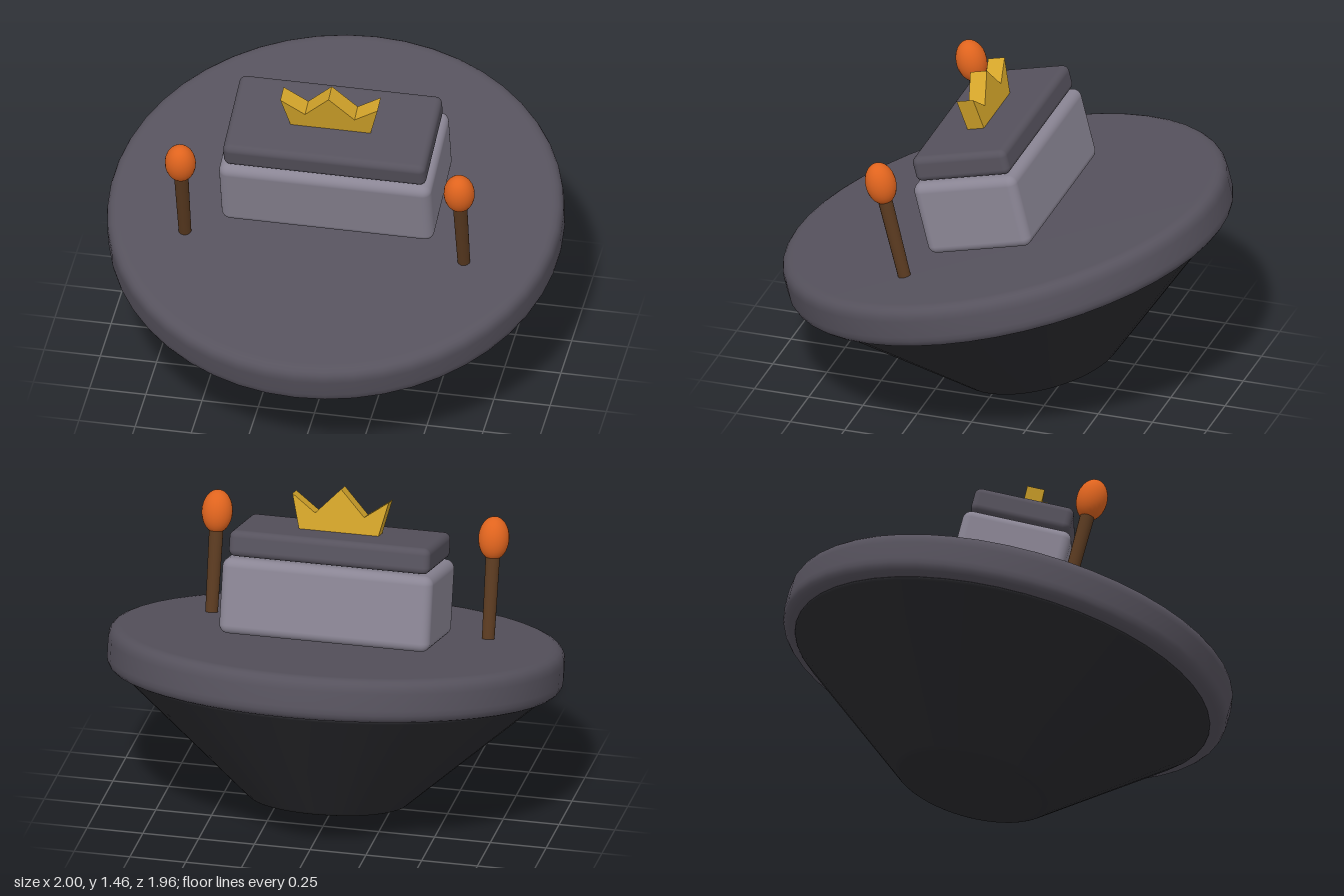
import * as THREE from 'three';
import { RoundedBoxGeometry } from 'three/addons/geometries/RoundedBoxGeometry.js';

function material(name, color) {
  const m = new THREE.MeshStandardMaterial({ color });
  m.name = name;
  return m;
}

// Solid of revolution with rounded lower and upper rims
function roundedDisc(rBottom, rTop, y0, y1, bevel) {
  const shape = new THREE.Path();
  const side = new THREE.Vector2(rTop - rBottom, y1 - y0).normalize().multiplyScalar(bevel);
  shape.moveTo(0, y0);
  shape.lineTo(rBottom - bevel, y0);
  shape.quadraticCurveTo(rBottom, y0, rBottom + side.x, y0 + side.y);
  shape.lineTo(rTop - side.x, y1 - side.y);
  shape.quadraticCurveTo(rTop, y1, rTop - bevel, y1);
  shape.lineTo(0, y1);
  return new THREE.LatheGeometry(shape.getPoints(5), 48);
}

export function createModel() {
  const slate = material('slate', 0x56525d);
  const stone = material('pale stone', 0x8a8594);
  const dark = material('dark rock', 0x2a2a2e);
  const gold = material('gold', 0xd4a52a);
  const wood = material('dark wood', 0x5a3a20);
  const flame = material('flame orange', 0xe0641e);

  const model = new THREE.Group();
  model.name = 'tiltedPlatform';

  // Everything sits on one platform, tipped towards the front
  const tilt = new THREE.Group();
  tilt.name = 'tiltedAssembly';
  tilt.position.y = 0.705;
  tilt.rotation.x = THREE.MathUtils.degToRad(14);
  model.add(tilt);

  function add(name, geometry, mat, x = 0, y = 0, z = 0, parent = tilt) {
    const mesh = new THREE.Mesh(geometry, mat);
    mesh.name = name;
    mesh.position.set(x, y, z);
    parent.add(mesh);
    return mesh;
  }

  // Platform and the tapering underside
  add('platformDisc', roundedDisc(1, 1, -0.0975, 0.0975, 0.06), slate);
  add('taperedUnderside', roundedDisc(0.335, 0.945, -0.643, -0.095, 0.025), dark);

  // Chest-like block with its lid
  add('stoneBlock', new RoundedBoxGeometry(0.944, 0.338, 0.488, 4, 0.04), stone, 0, 0.282, -0.055);
  add('lid', new RoundedBoxGeometry(0.9, 0.116, 0.445, 4, 0.03), slate, 0, 0.514, -0.055);

  // Three-pointed crown
  const outline = [[-0.178, 0], [0.178, 0], [0.216, 0.155], [0.11, 0.078],
    [0, 0.194], [-0.11, 0.078], [-0.216, 0.155]];
  const crown = new THREE.Shape(outline.map(([x, y]) => new THREE.Vector2(x, y)));
  add('crown', new THREE.ExtrudeGeometry(crown, { depth: 0.078, bevelEnabled: false }),
    gold, 0, 0.571, -0.09);

  // Torches on both sides
  for (const [name, s] of [['leftTorch', 1], ['rightTorch', -1]]) {
    const torch = new THREE.Group();
    torch.name = name;
    torch.position.set(0.62 * s, 0.09, 0.253);
    tilt.add(torch);
    add('torchStick', new THREE.CylinderGeometry(0.032, 0.028, 0.4, 16), wood, 0, 0.2, 0, torch);
    const ball = add('torchFlame', new THREE.SphereGeometry(0.068, 24, 16), flame, 0, 0.455, 0, torch);
    ball.scale.y = 1.42;
  }

  return model;
}
